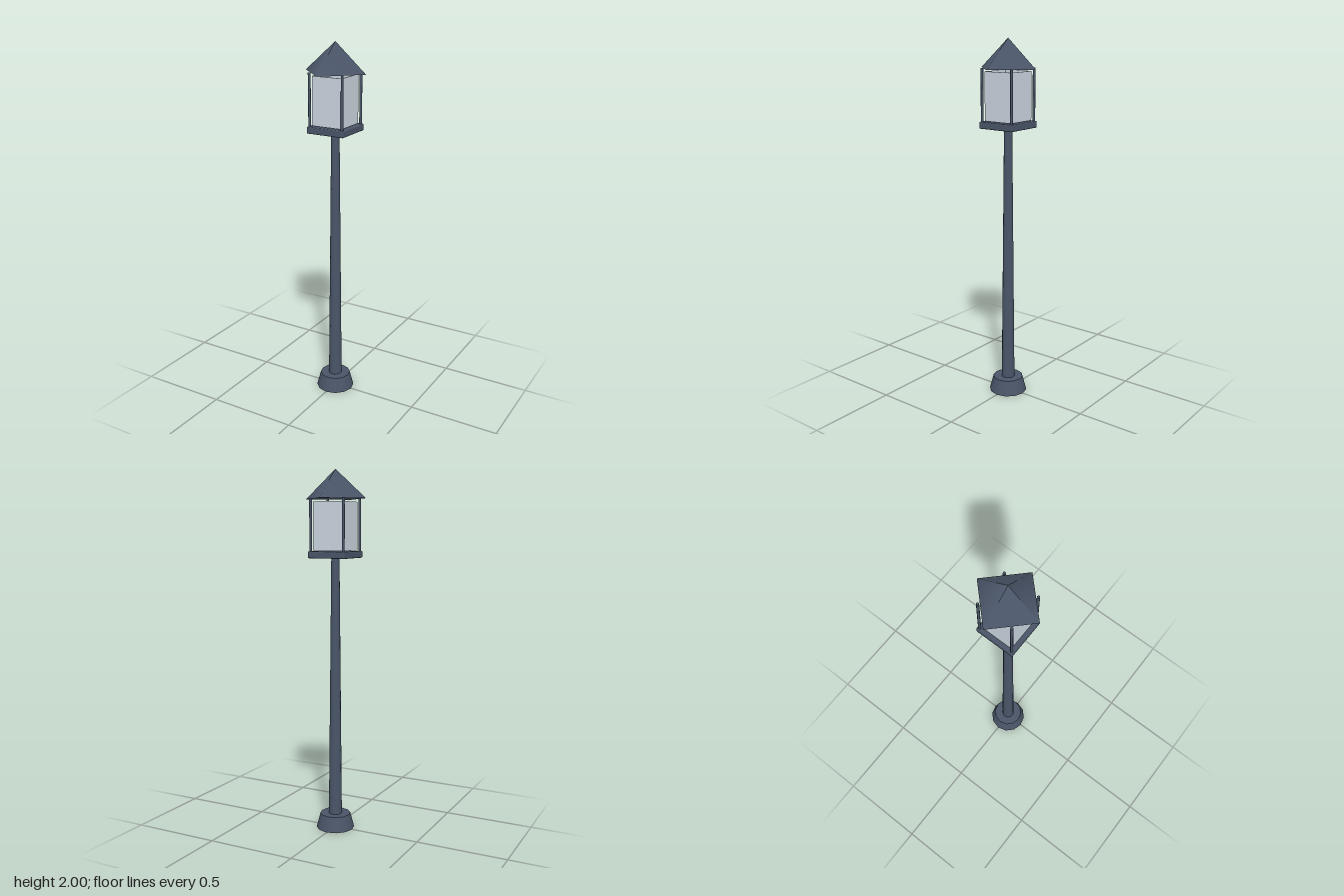
import * as THREE from 'three';
import { RoundedBoxGeometry } from 'three/addons/geometries/RoundedBoxGeometry.js';

export function createModel() {
  const lamp = new THREE.Group();
  lamp.name = 'streetLamp';
  const metal = new THREE.MeshStandardMaterial({ color: 0x4a5568 });
  const glass = new THREE.MeshStandardMaterial({ color: 0xcbd5e0 });

  const add = (name, geometry, material, x, y, z) => {
    const mesh = new THREE.Mesh(geometry, material);
    mesh.name = name;
    mesh.position.set(x, y, z);
    lamp.add(mesh);
    return mesh;
  };
  // Upright cylinder spanning y0 to y1
  const column = (name, rTop, rBottom, y0, y1, sides, x = 0, z = 0) =>
    add(name, new THREE.CylinderGeometry(rTop, rBottom, y1 - y0, sides), metal, x, (y0 + y1) / 2, z);

  // Flared foot and tapered pole
  column('base', 0.085, 0.107, 0, 0.083, 12);
  column('pole', 0.022, 0.037, 0.08, 1.57, 12);

  // Lantern floor
  add('tray', new RoundedBoxGeometry(0.222, 0.037, 0.222, 2, 0.006), metal, 0, 1.546, 0);

  // Corner posts
  for (const x of [-0.098, 0.098])
    for (const z of [-0.098, 0.098]) column('cornerPost', 0.0075, 0.0075, 1.56, 1.845, 8, x, z);

  // Four glass panes, stopping just short of the roof
  for (let i = 0; i < 4; i++) {
    const a = (i * Math.PI) / 2;
    const pane = add('glassPane', new THREE.BoxGeometry(0.172, 0.26, 0.006), glass,
      Math.sin(a) * 0.087, 1.698, Math.cos(a) * 0.087);
    pane.rotation.y = a;
  }

  // Four-sided roof, its corners over the middle of each pane
  add('roof', new THREE.ConeGeometry(0.181, 0.157, 4), metal, 0, 1.9215, 0);

  return lamp;
}
